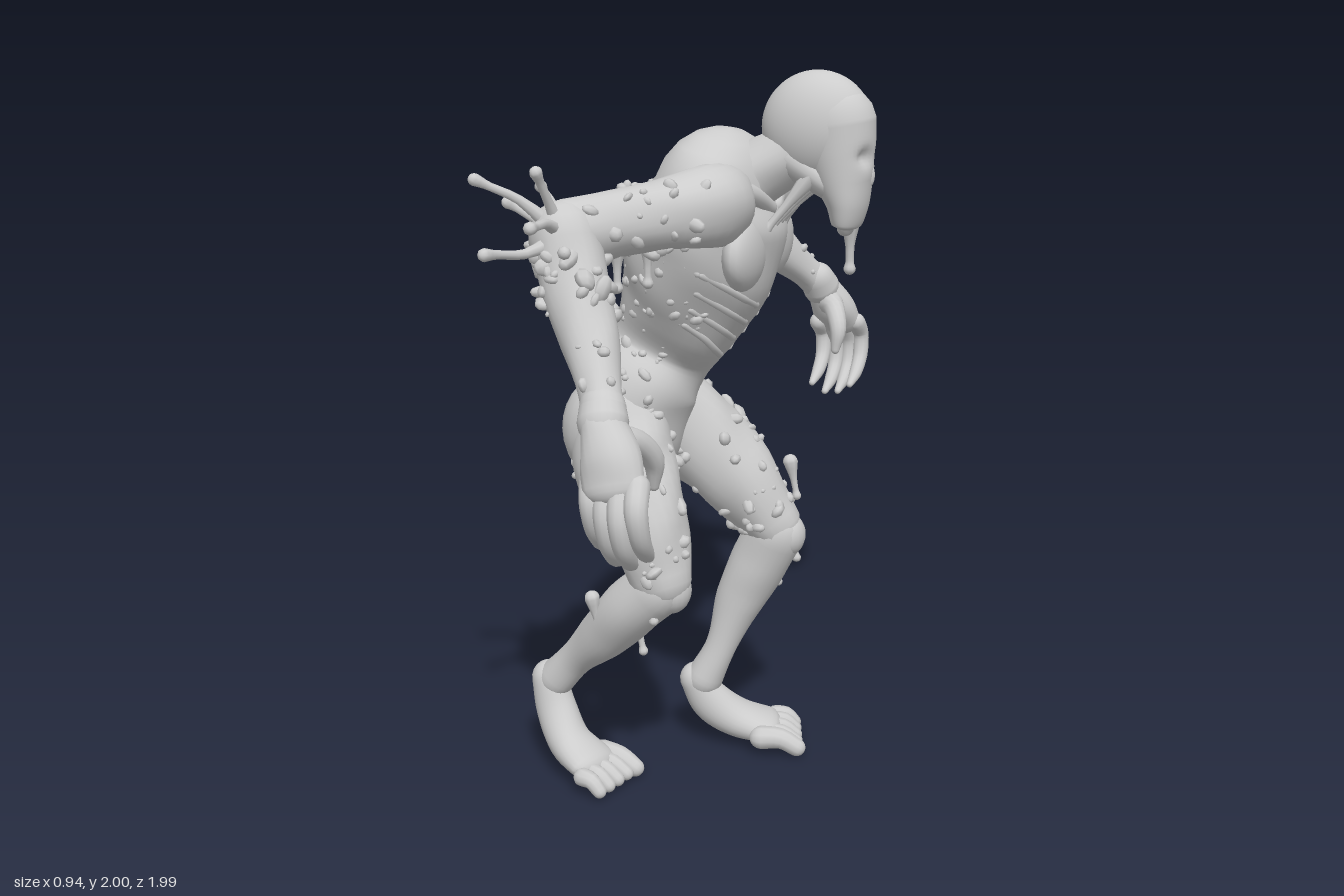
import * as THREE from 'three';
import { mergeGeometries } from 'three/addons/utils/BufferGeometryUtils.js';

const V = (x, y, z) => new THREE.Vector3(x, y, z);
const X = V(1, 0, 0), Z = V(0, 0, 1);

// Small seeded random generator
let seed = 7;
const rnd = () => (seed = (seed * 16807) % 2147483647) / 2147483647;

// Sweeps an ellipse along points [x, y, z, radiusAlongRef, radiusAcross], with domed ends.
// geometry.userData.at(t, angle, scale) gives a point on the skin.
function loft(pts, ref, { seg = 20, steps = 6, bump = 0, warp = null } = {}) {
  const path = new THREE.CatmullRomCurve3(pts.map(p => V(p[0], p[1], p[2])), false, 'centripetal');
  const radii = new THREE.CatmullRomCurve3(pts.map(p => V(p[3], p[4] ?? p[3], 0)), false, 'centripetal');
  const at = (t, a, scale = 1, shift = 0) => {
    const T = path.getTangent(t), r = radii.getPoint(t);
    const u = ref.clone().addScaledVector(T, -ref.dot(T)).normalize();
    const v = T.clone().cross(u);
    const p = path.getPoint(t).addScaledVector(T, shift * Math.min(r.x, r.y));
    const n = 1 + bump * (Math.sin(p.y * 37 + a * 3) + Math.sin(p.x * 29 - a * 5 + p.z * 41));
    return p.addScaledVector(u, Math.cos(a) * r.x * scale * n).addScaledVector(v, Math.sin(a) * r.y * scale * n);
  };
  const rows = [], dome = [1, 0.96, 0.85, 0.65, 0.35];
  dome.forEach(k => rows.push([0, Math.sqrt(1 - k * k), -k]));
  const n = (pts.length - 1) * steps;
  for (let i = 0; i <= n; i++) rows.push([i / n, 1, 0]);
  [...dome].reverse().forEach(k => rows.push([1, Math.sqrt(1 - k * k), k]));
  const pos = [], idx = [];
  rows.forEach(([t, s, k], i) => {
    for (let j = 0; j < seg; j++) {
      const p = at(t, j / seg * Math.PI * 2, s, k);
      if (warp) warp(p);
      pos.push(p.x, p.y, p.z);
      if (i === rows.length - 1) continue;
      const a = i * seg + j, b = i * seg + (j + 1) % seg;
      idx.push(a, b, a + seg, b, b + seg, a + seg);
    }
  });
  const g = new THREE.BufferGeometry();
  g.setAttribute('position', new THREE.Float32BufferAttribute(pos, 3));
  g.setIndex(idx);
  g.computeVertexNormals();
  g.userData.at = at;
  return g;
}

// Ellipsoid
function blob(x, y, z, rx, ry = rx, rz = rx, w = 20) {
  return new THREE.SphereGeometry(1, w, Math.ceil(w * 0.7)).scale(rx, ry, rz).translate(x, y, z);
}

// Stringy strand from a to b, thin in the middle with a swollen tip
function strand(a, b, r = 0.016, sag = 0) {
  const m = a.clone().lerp(b, 0.5).add(V(0, -sag, 0)), q = m.clone().lerp(b, 0.65);
  const row = (p, k) => [p.x, p.y, p.z, r * k];
  const d = b.clone().sub(a);
  return loft([row(a, 1.6), row(m, 0.75), row(q, 0.65), row(b, 1)], Math.abs(d.x) > Math.abs(d.z) ? Z : X, { seg: 8, steps: 3 });
}

// Torn lumps of flesh scattered over a lofted part
function lumps(body, count, t0, t1, a0, a1, size = 0.012) {
  const list = [];
  for (let i = 0; i < count; i++) {
    const p = body.userData.at(t0 + rnd() * (t1 - t0), a0 + rnd() * (a1 - a0), 0.97);
    const s = size * (0.5 + rnd() * 0.9);
    const g = new THREE.SphereGeometry(s, 7, 5).scale(1, 0.7 + rnd() * 1.2, 0.6 + rnd());
    list.push(g.rotateX(rnd() * 3).rotateZ(rnd() * 3).translate(p.x, p.y, p.z));
  }
  return mergeGeometries(list);
}

export function createModel() {
  seed = 7;
  const root = new THREE.Group();
  const flesh = new THREE.MeshStandardMaterial({ color: 0xcccccc });
  flesh.name = 'greyFlesh';
  const add = (name, ...geos) => {
    geos.forEach(g => { g.deleteAttribute('uv'); });
    const m = new THREE.Mesh(geos.length > 1 ? mergeGeometries(geos) : geos[0], flesh);
    m.name = name;
    root.add(m);
  };
  const TAU = Math.PI * 2;

  // Torso, leaning forward from pelvis to shoulders
  const torso = loft([
    [-0.19, 1.0, 0.085, 0.17, 0.14], [-0.175, 1.13, 0.075, 0.185, 0.16], [-0.125, 1.24, 0.045, 0.145, 0.15],
    [-0.055, 1.36, 0.045, 0.2, 0.18], [0.0, 1.5, 0.05, 0.262, 0.208], [0.03, 1.62, 0.05, 0.285, 0.2], [0.045, 1.69, 0.05, 0.24, 0.16],
  ], Z, { seg: 40, bump: 0.012 });
  add('torso', torso);
  add('backLumps', lumps(torso, 75, 0.1, 0.98, Math.PI * 0.9, Math.PI * 2.1));
  add('flankLumps', lumps(torso, 26, 0.15, 0.8, -0.4, 0.6), lumps(torso, 26, 0.15, 0.8, 2.6, 3.5));
  add('buttocks', blob(-0.23, 1.025, 0.17, 0.135, 0.16, 0.125), blob(-0.22, 1.045, -0.01, 0.125, 0.15, 0.12));
  add('tailbone', blob(-0.285, 1.21, 0.07, 0.05, 0.06, 0.07));

  // Chest muscles, ribs and collar bones
  for (const s of [1, -1]) {
    const skin = (t, a, k = 0.965) => torso.userData.at(t, Math.PI / 2 - s * a, k);
    const p = skin(0.76, 0.6, 0.86);
    add('chestMuscle', blob(p.x, p.y, p.z, 0.05, 0.1, 0.13));
    const ribs = [];
    for (let i = 0; i < 4; i++) {
      const row = [0.25, 0.55, 0.85, 1.2].map((a, k) => [...skin(0.45 + i * 0.055 + k * 0.025, a), 0.012]);
      ribs.push(loft(row, X, { seg: 8, steps: 4 }));
    }
    add('ribs', ...ribs);
    add('collarBone', loft([[0.195, 1.645, 0.05 + s * 0.03, 0.022], [0.175, 1.69, 0.05 + s * 0.13, 0.026], [0.125, 1.73, 0.05 + s * 0.24, 0.03]], X, { seg: 10 }));
  }

  // Neck and upper back
  const hump = loft([[-0.03, 1.6, 0.05, 0.21, 0.115], [0.06, 1.67, 0.05, 0.175, 0.11], [0.16, 1.735, 0.05, 0.105, 0.088], [0.27, 1.8, 0.05, 0.08, 0.075]], Z, { seg: 28, bump: 0.015 });
  add('neck', hump);
  add('neckLumps', lumps(hump, 30, 0, 0.65, Math.PI, TAU, 0.016), lumps(hump, 16, 0.05, 0.65, 0, Math.PI, 0.014));
  for (let i = -2; i <= 2; i++)
    add('neckTendon', strand(V(0.33 - Math.abs(i) * 0.01, 1.73, 0.05 + i * 0.028), V(0.2, 1.59, 0.05 + i * 0.045), 0.016));

  // Smooth skull and long mask-like face with hollow eyes
  add('skull', blob(0.315, 1.855, 0.05, 0.148, 0.146, 0.1, 36));
  const sockets = p => {
    for (const s of [1, -1]) {
      const d = Math.hypot(p.y - 1.785, p.z - 0.05 - s * 0.042);
      if (p.x > 0.4) p.x -= 0.022 * Math.exp(-d * d / 0.0005);
    }
  };
  add('face', loft([[0.365, 1.87, 0.05, 0.094, 0.104], [0.378, 1.79, 0.05, 0.092, 0.093], [0.39, 1.72, 0.05, 0.088, 0.076], [0.4, 1.66, 0.05, 0.082, 0.056], [0.398, 1.605, 0.05, 0.068, 0.038], [0.397, 1.597, 0.05, 0.05, 0.022]], Z, { seg: 44, steps: 8, warp: sockets }));
  add('nose', blob(0.456, 1.735, 0.05, 0.014, 0.03, 0.014));
  add('jaw', loft([[0.25, 1.78, 0.05, 0.085, 0.06], [0.32, 1.735, 0.05, 0.08, 0.05], [0.385, 1.69, 0.05, 0.07, 0.04]], Z));
  add('chinDrip', strand(V(0.405, 1.61, 0.035), V(0.405, 1.485, 0.03), 0.017));

  // Arms with claw-like hands; s = side, dx shifts the hand forward
  for (const [s, dx, side] of [[1, 0, 'left'], [-1, 0.09, 'right']]) {
    const m = (x, y, z, ...r) => [x, y, s * z + (s < 0 ? 0.01 : 0), ...r];
    const v = (x, y, z) => V(...m(x, y, z));
    const drop = s < 0 ? -0.03 : 0;
    const upper = loft([m(0.07, 1.66, 0.14, 0.1, 0.1), m(0.1, 1.675, 0.3, 0.105, 0.105), m(0.01, 1.665 + drop / 2, 0.43, 0.09, 0.086), m(-0.08, 1.655 + drop, 0.54, 0.085, 0.082), m(-0.15, 1.64 + drop, 0.64, 0.088, 0.085)], X, { seg: 26, bump: 0.02 });
    add(side + 'UpperArm', upper);
    const lower = loft([m(-0.15, 1.64 + drop, 0.65, 0.085, 0.085), m(-0.11, 1.53, 0.69, 0.082, 0.078), m(-0.05 + dx * 0.4, 1.41, 0.75, 0.07, 0.072), m(0.01 + dx * 0.8, 1.3, 0.835, 0.05, 0.05), m(0.035 + dx, 1.24, 0.88, 0.054, 0.052)], X, { seg: 26, bump: 0.02 });
    add(side + 'Forearm', lower);
    add(side + 'ArmLumps', lumps(upper, 34, 0.35, 1, 0, TAU, 0.014), lumps(lower, 40, 0, 0.42, 0, TAU, 0.018), lumps(lower, 12, 0.4, 0.9, 0, TAU, 0.01));
    add(side + 'WristFold', loft([m(0.018 + dx, 1.285, 0.85, 0.054), m(0.026 + dx, 1.255, 0.87, 0.06)], X));
    add(side + 'Palm', loft([m(0.03 + dx, 1.245, 0.88, 0.055, 0.055), m(0.06 + dx, 1.18, 0.91, 0.072, 0.058), m(0.075 + dx, 1.125, 0.935, 0.074, 0.042)], X, { bump: 0.02 }));
    // Fingers curl inward, each by a different amount
    for (let i = 0; i < 4; i++) {
      const x = 0.012 + i * 0.04 + dx, l = [0.03, 0, 0, 0.025][i], c = [0.03, 0.015, 0, 0][i];
      add(side + 'Finger', loft([m(x, 1.13, 0.935 - c, 0.03), m(x + 0.008, 1.06 + l, 0.97 - c, 0.028), m(x + 0.012, 0.99 + l, 0.957 - c, 0.025), m(x + 0.008, 0.94 + l, 0.91 - c, 0.021), m(x, 0.91 + l, 0.86 - c, 0.011)], X, { seg: 12, steps: 4 }));
    }
    add(side + 'Thumb', loft([m(0.05 + dx, 1.21, 0.88, 0.045), m(0.085 + dx, 1.195, 0.815, 0.033), m(0.11 + dx, 1.14, 0.765, 0.027), m(0.105 + dx, 1.075, 0.752, 0.014)], Z, { seg: 12, steps: 4 }));
    // Torn stalks around the elbow and drips beneath the arm
    const tips = s > 0
      ? [[-0.32, 1.78, 0.77], [-0.17, 1.8, 0.76], [-0.24, 1.63, 0.9], [-0.14, 1.69, 0.87], [-0.27, 1.72, 0.7], [-0.08, 1.63, 0.82], [-0.22, 1.75, 0.62]]
      : [[-0.13, 1.52, 0.9], [-0.11, 1.68, 0.82], [-0.2, 1.69, 0.7], [-0.22, 1.57, 0.78], [-0.06, 1.63, 0.76], [-0.22, 1.7, 0.62]];
    tips.forEach((p, i) => add(side + 'ElbowStalk', strand(v(-0.15, 1.64 + drop, 0.66), v(...p), 0.016, (i % 3 - 1) * 0.02)));
    const drips = s > 0
      ? [[-0.01, 0.46, 1.5], [-0.06, 0.54, 1.5], [-0.12, 0.6, 1.42], [-0.18, 0.66, 1.46]]
      : [[0.0, 0.45, 1.35], [-0.06, 0.53, 1.46], [-0.13, 0.62, 1.42], [-0.1, 0.68, 1.3], [-0.17, 0.66, 1.4]];
    drips.forEach(([x, z, y]) => add(side + 'ArmDrip', strand(v(x, 1.6, z), v(x, y, z), 0.015)));
  }

  // Legs: left one trails, right one steps forward
  const legs = {
    left: {
      thigh: [[-0.2, 1.07, 0.17, 0.12, 0.13], [-0.165, 0.94, 0.23, 0.13, 0.145], [-0.085, 0.79, 0.285, 0.115, 0.118], [-0.035, 0.66, 0.31, 0.085, 0.085]],
      shin: [[-0.04, 0.63, 0.31, 0.082, 0.08], [-0.125, 0.555, 0.295, 0.084, 0.083], [-0.22, 0.45, 0.265, 0.068, 0.073], [-0.33, 0.34, 0.23, 0.045, 0.05], [-0.395, 0.265, 0.215, 0.052, 0.055]],
      foot: [[-0.42, 0.265, 0.21, 0.05, 0.05], [-0.39, 0.175, 0.23, 0.054, 0.06], [-0.335, 0.095, 0.265, 0.068, 0.058], [-0.25, 0.058, 0.3, 0.088, 0.042]],
      drips: [[-0.1, 0.42, 0.28], [-0.21, 0.48, 0.33], [-0.04, 0.55, 0.36]],
    },
    right: {
      thigh: [[-0.16, 1.08, -0.01, 0.115, 0.13], [-0.05, 0.96, -0.055, 0.125, 0.135], [0.07, 0.84, -0.07, 0.115, 0.115], [0.17, 0.71, -0.08, 0.083, 0.083]],
      shin: [[0.18, 0.68, -0.08, 0.08, 0.085], [0.13, 0.58, -0.085, 0.082, 0.085], [0.075, 0.46, -0.075, 0.072, 0.072], [0.025, 0.31, -0.04, 0.046, 0.046], [-0.02, 0.21, -0.03, 0.054, 0.055]],
      foot: [[-0.045, 0.205, -0.03, 0.05, 0.05], [0.0, 0.135, -0.035, 0.054, 0.062], [0.07, 0.085, -0.055, 0.068, 0.056], [0.165, 0.055, -0.085, 0.086, 0.04]],
      drips: [[0.18, 0.51, -0.12], [0.24, 0.6, -0.1], [0.23, 0.78, -0.13]],
    },
  };
  for (const [side, leg] of Object.entries(legs)) {
    const thigh = loft(leg.thigh, Z, { seg: 28, bump: 0.022 });
    add(side + 'Thigh', thigh);
    add(side + 'ThighLumps', lumps(thigh, 80, 0, 1, 0, TAU, 0.014));
    const k = leg.shin[0];
    add(side + 'Knee', blob(k[0] + 0.035, k[1] - 0.005, k[2], 0.055, 0.065, 0.06));
    add(side + 'Shin', loft(leg.shin, Z, { seg: 24, bump: 0.008 }));
    add(side + 'Foot', loft(leg.foot, Z, { seg: 24 }));
    const f = leg.foot[3], turn = side === 'left' ? 1 : -1;
    for (let i = -2; i <= 2; i++) {
      const z = f[2] + i * 0.04, big = i === -2 * turn ? 1.3 : 1, reach = 0.08 - i * turn * 0.012;
      add(side + 'Toe', loft([[f[0], 0.053, z, 0.027 * big], [f[0] + reach * 0.55, 0.052, z + turn * 0.012, 0.024 * big], [f[0] + reach, 0.028, z + turn * 0.018, 0.021 * big]], Z, { seg: 10, steps: 3 }));
    }
    leg.drips.forEach(([x, y, z]) => add(side + 'LegDrip', strand(V(x - 0.02, y + 0.1, z), V(x, y, z), 0.014)));
  }
  // Loose flaps hanging from the right hip
  for (let i = 0; i < 4; i++)
    add('hipFlap', strand(V(-0.09 + i * 0.05, 1.06 - i * 0.03, -0.155), V(-0.07 + i * 0.06, 0.95 - (i % 2) * 0.08, -0.185), 0.014, 0.015));

  return root;
}
